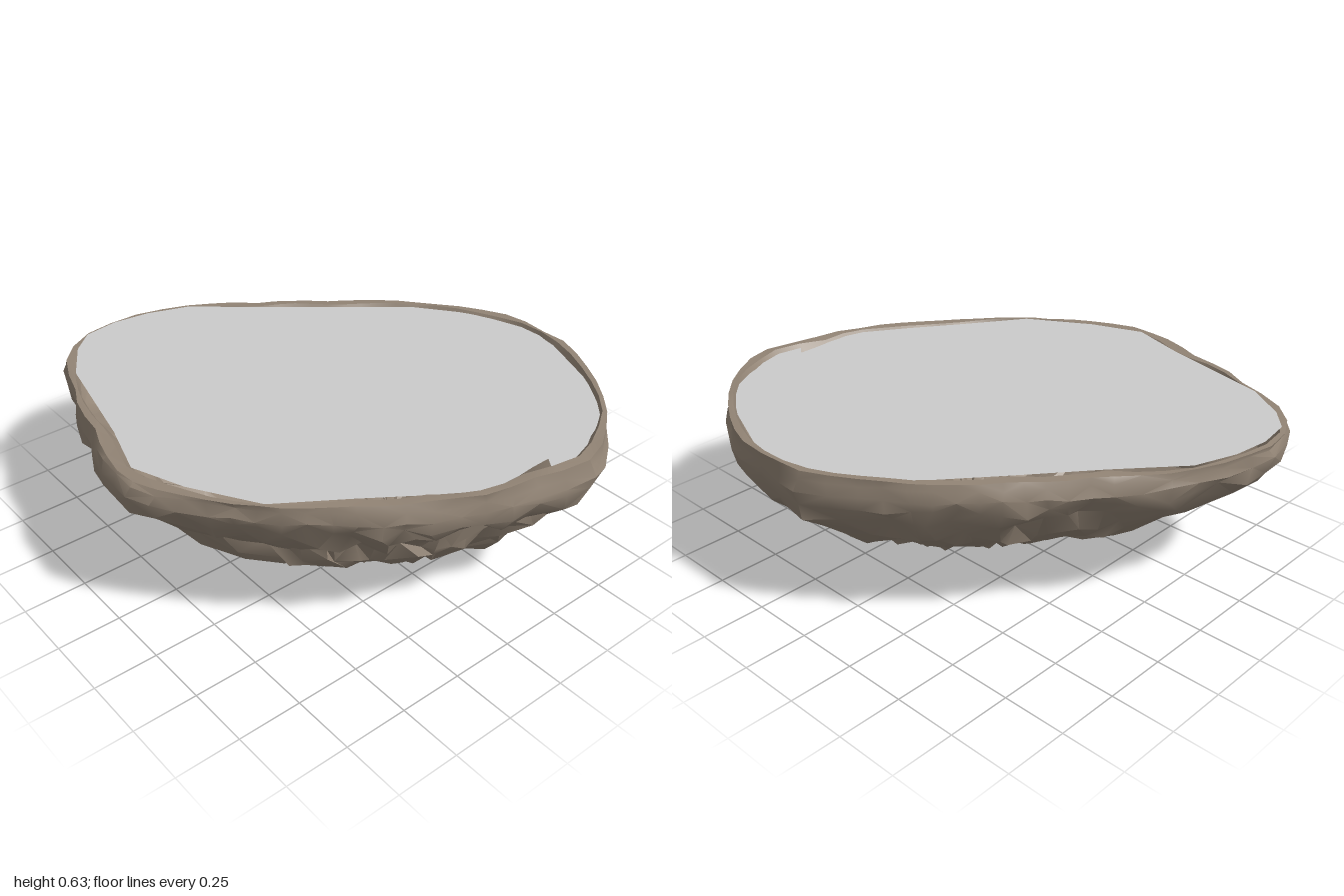
import * as THREE from 'three';
import { toCreasedNormals } from 'three/addons/utils/BufferGeometryUtils.js';

// Widest outline of the rock, as [x, z]
const OUTER = [
  [1, -0.37], [0.97, -0.48], [0.86, -0.62], [0.7, -0.77], [0.55, -0.87], [0.38, -0.95], [0.22, -0.94],
  [0.05, -0.95], [-0.06, -0.89], [-0.2, -0.79], [-0.42, -0.62], [-0.56, -0.45], [-0.72, -0.24],
  [-0.9, 0.02], [-0.97, 0.2], [-1, 0.42], [-0.95, 0.58], [-0.88, 0.67], [-0.79, 0.72], [-0.63, 0.75],
  [-0.54, 0.81], [-0.32, 0.86], [-0.27, 0.9], [0, 0.94], [0.06, 0.94], [0.25, 0.83], [0.4, 0.7],
  [0.6, 0.51], [0.74, 0.34], [0.85, 0.15], [0.93, -0.05], [0.96, -0.2],
];
// Edge of the flat top, as [x, z]
const INNER = [
  [0.94, -0.28], [0.88, -0.49], [0.78, -0.66], [0.6, -0.79], [0.3, -0.91], [0.18, -0.92], [0, -0.86],
  [-0.1, -0.81], [-0.27, -0.68], [-0.47, -0.44], [-0.68, -0.18], [-0.88, 0.05], [-0.94, 0.22],
  [-0.96, 0.37], [-0.94, 0.51], [-0.86, 0.6], [-0.7, 0.7], [-0.25, 0.8], [-0.02, 0.87], [0.19, 0.79],
  [0.44, 0.64], [0.6, 0.4], [0.74, 0.2], [0.85, 0.03], [0.87, -0.06], [0.86, -0.2],
];
const NOTCH = [[0.86, -0.28], [0.93, -0.23]];

// Rock layers from the bottom up: [y, scale, centre x, centre z, roughness]
const LAYERS = [
  [0.015, 0.13, 0.17, -0.1, 0.02], [0.04, 0.28, 0.11, -0.04, 0.04], [0.075, 0.4, 0.12, -0.03, 0.05],
  [0.12, 0.51, 0.11, -0.02, 0.06], [0.18, 0.61, 0.08, -0.01, 0.06], [0.25, 0.71, 0.05, 0, 0.06],
  [0.31, 0.79, 0.02, -0.02, 0.05], [0.37, 0.86, 0.01, -0.02, 0.045], [0.44, 0.94, 0.01, -0.01, 0.035],
  [0.5, 0.985, 0, 0, 0.02], [0.545, 0.995, 0, 0, 0.008], [0.585, 0.98, 0, 0, 0.008],
];

// Radius of an outline in a given direction
function radiusOf(points) {
  const polar = points
    .map(([x, z]) => [Math.atan2(z, x), Math.hypot(x, z)])
    .sort((p, q) => p[0] - q[0]);
  const first = polar[0], last = polar[polar.length - 1];
  polar.unshift([last[0] - 2 * Math.PI, last[1]]);
  polar.push([first[0] + 2 * Math.PI, first[1]]);
  return (a) => {
    const i = polar.findIndex((p) => p[0] > a);
    const [a0, r0] = polar[i - 1], [a1, r1] = polar[i];
    return r0 + (r1 - r0) * (a - a0) / (a1 - a0);
  };
}

function seeded(seed) {
  return () => {
    seed = (seed * 16807) % 2147483647;
    return seed / 2147483647;
  };
}

function rockGeometry() {
  const outer = radiusOf(OUTER), inner = radiusOf(INNER);
  const random = seeded(4711);
  const N = 60, stride = N;
  const pos = [0.2, 0, -0.14], index = [];
  const angle = (i) => -Math.PI + (2 * Math.PI * (i + 0.5)) / N;

  // Underside, roughened with broad bumps and small chips
  LAYERS.forEach(([y, s, cx, cz, rough]) => {
    for (let i = 0; i < N; i++) {
      const a = angle(i) + (random() - 0.5) * 0.08 * (y < 0.5 ? 1 : 0.3);
      const wrapped = Math.max(-Math.PI, Math.min(Math.PI - 1e-6, a));
      const bump = 0.45 * Math.sin(7 * a + 13 * y) * Math.cos(4 * a - 17 * y) + (random() - 0.5) * 0.8;
      const r = outer(wrapped) * s + rough * bump;
      const lift = (random() - 0.5) * Math.min(0.055, y * 0.6) * (y < 0.53 ? 1 : 0.3);
      pos.push(cx + r * Math.cos(a), y + lift, cz + r * Math.sin(a));
    }
  });

  // Rounded rim that turns inward and dips beneath the flat top
  [[0.6, 0], [0.1, 0], [-0.3, -0.035]].forEach(([t, drop]) => {
    for (let i = 0; i < N; i++) {
      const a = angle(i);
      const r = inner(a) + (outer(a) - inner(a)) * t;
      const x = r * Math.cos(a), z = r * Math.sin(a);
      pos.push(x, 0.611 + 0.008 * x - 0.011 * z + drop + (random() - 0.5) * 0.006, z);
    }
  });

  const rings = LAYERS.length + 3;
  for (let i = 0; i < N; i++) {
    const j = (i + 1) % N;
    index.push(0, 1 + i, 1 + j);
    for (let k = 0; k < rings - 1; k++) {
      const a = 1 + k * stride + i, b = 1 + k * stride + j;
      const c = a + stride, d = b + stride;
      if ((i * 7 + k * 3) % 5 < 2) index.push(a, c, b, b, c, d);
      else index.push(a, c, d, a, d, b);
    }
  }
  const geometry = new THREE.BufferGeometry();
  geometry.setAttribute('position', new THREE.Float32BufferAttribute(pos, 3));
  geometry.setIndex(index);
  return toCreasedNormals(geometry, 0.55);
}

export function createModel() {
  const group = new THREE.Group();
  group.name = 'rockBasin';

  const rock = new THREE.Mesh(
    rockGeometry(),
    new THREE.MeshStandardMaterial({ color: 0x928475, side: THREE.DoubleSide }),
  );
  rock.name = 'rock';
  group.add(rock);

  // Flat top sheet
  const outline = [...INNER, ...NOTCH.slice(0, 1), ...NOTCH.slice(1)];
  const shape = new THREE.Shape(outline.map(([x, z]) => new THREE.Vector2(x, -z)));
  const top = new THREE.Mesh(
    new THREE.ShapeGeometry(shape).rotateX(-Math.PI / 2),
    new THREE.MeshStandardMaterial({ color: 0xcccccc, side: THREE.DoubleSide }),
  );
  top.name = 'flatTop';
  top.position.y = 0.608;
  group.add(top);

  return group;
}
